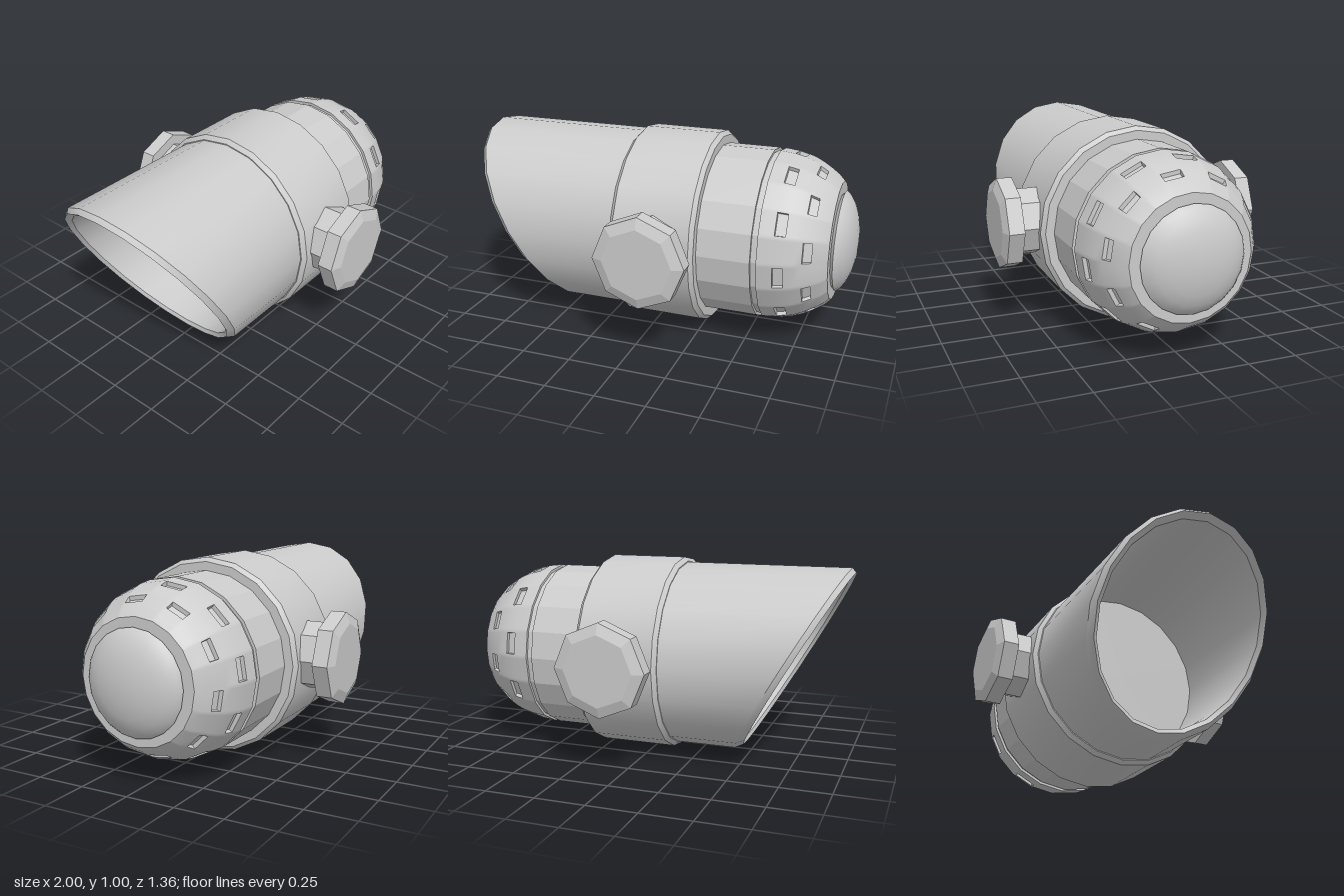
import * as THREE from 'three';
import { toCreasedNormals } from 'three/addons/utils/BufferGeometryUtils.js';

const SIDES = 20;
const AXIS_Y = 0.5;
const STEP = (Math.PI * 2) / SIDES;

// Point at distance r from the x axis; angle 0 is the front, a quarter turn is up
const polar = (x, r, a) => [x, r * Math.sin(a), r * Math.cos(a)];

function pushQuad(out, a, b, c, d) {
  out.push(...a, ...b, ...c, ...a, ...c, ...d);
}

function toGeometry(positions, crease = 0.5) {
  const g = new THREE.BufferGeometry();
  g.setAttribute('position', new THREE.Float32BufferAttribute(positions, 3));
  g.computeVertexNormals();
  return toCreasedNormals(g, crease);
}

// Rings [x, radius] around the x axis; x may be a function of height for slanted cuts
function turned(rings) {
  const out = [];
  const at = ([x, r], j) => {
    const p = polar(0, r, j * STEP);
    p[0] = typeof x === 'function' ? x(p[1]) : x;
    return p;
  };
  for (let i = 0; i < rings.length - 1; i++) {
    for (let j = 0; j < SIDES; j++) {
      pushQuad(out, at(rings[i], j), at(rings[i + 1], j), at(rings[i + 1], j + 1), at(rings[i], j + 1));
    }
  }
  return toGeometry(out);
}

// Rounded nose with two staggered rows of recessed slots
function slottedDome() {
  const profile = [
    [0.585, 0.42], [0.585, 0.436], [0.66, 0.428], [0.71, 0.416], [0.75, 0.402],
    [0.79, 0.382], [0.83, 0.358], [0.87, 0.33], [0.9, 0.3], [0.9, 0.2],
  ];
  const slotParity = { 2: 1, 5: 0 }; // profile row -> which alternate sides are slotted
  const cuts = [0, 1.5, 16.5, 18].map(THREE.MathUtils.degToRad);
  const depth = 0.02;
  const out = [];
  const at = (i, s, c, inset = 0) => {
    const [x, r] = profile[i];
    const flat = Math.cos(STEP / 2) / Math.cos(cuts[c] - STEP / 2);
    return polar(x, (r - inset) * flat, s * STEP + cuts[c]);
  };
  for (let i = 0; i < profile.length - 1; i++) {
    for (let s = 0; s < SIDES; s++) {
      for (let c = 0; c < 3; c++) {
        const corners = (inset) => [
          at(i, s, c, inset), at(i + 1, s, c, inset),
          at(i + 1, s, c + 1, inset), at(i, s, c + 1, inset),
        ];
        const top = corners(0);
        if (c !== 1 || slotParity[i] !== s % 2) {
          pushQuad(out, ...top);
          continue;
        }
        const floor = corners(depth);
        pushQuad(out, ...floor);
        for (let k = 0; k < 4; k++) {
          const n = (k + 1) % 4;
          pushQuad(out, top[k], top[n], floor[n], floor[k]);
        }
      }
    }
  }
  return toGeometry(out);
}

export function createModel() {
  const group = new THREE.Group();
  const smooth = new THREE.MeshStandardMaterial({ color: 0xcccccc });
  const faceted = new THREE.MeshStandardMaterial({ color: 0xcccccc, flatShading: true });

  const add = (name, geometry, material = smooth) => {
    const mesh = new THREE.Mesh(geometry, material);
    mesh.name = name;
    mesh.position.y = AXIS_Y;
    group.add(mesh);
  };

  // Open hood with a slanted, bevelled mouth
  const cut = (offset) => (y) => -0.738 - 0.575 * y + offset;
  add('slantedHood', turned([
    [-0.12, 0], [-0.12, 0.43], [cut(0.02), 0.43], [cut(0), 0.453], [cut(0.032), 0.475], [-0.1, 0.475],
  ]));

  // Wide bevelled collar
  add('collar', turned([
    [-0.14, 0.44], [-0.14, 0.48], [-0.12, 0.5], [0.27, 0.5], [0.29, 0.48], [0.29, 0.42],
  ]));

  // Faceted barrel and the narrow groove behind the nose
  add('barrel', turned([[0.27, 0.436], [0.555, 0.436], [0.555, 0.41]]), faceted);
  add('groove', turned([[0.54, 0.422], [0.6, 0.422]]), faceted);

  add('slottedDome', slottedDome());

  // Domed lens at the tip
  add('lens', turned([
    [0.89, 0.225], [0.915, 0.255], [0.935, 0.237], [0.96, 0.2], [0.98, 0.15], [0.994, 0.085], [1, 0],
  ]));

  // Octagonal pivot knobs on both sides
  for (const side of [1, -1]) {
    const knob = new THREE.Group();
    knob.name = side > 0 ? 'frontKnob' : 'backKnob';
    knob.position.set(0.08, 0.52, 0);
    const addPart = (name, rTop, rBottom, z0, z1) => {
      const geometry = new THREE.CylinderGeometry(rTop, rBottom, z1 - z0, 8);
      geometry.translate(0, (z0 + z1) / 2, 0).rotateX((side * Math.PI) / 2);
      const mesh = new THREE.Mesh(geometry, faceted);
      mesh.name = name;
      knob.add(mesh);
    };
    addPart('knobNeck', 0.17, 0.17, 0.42, 0.6);
    addPart('knobFlange', 0.23, 0.23, 0.585, 0.662);
    addPart('knobCap', 0.175, 0.23, 0.662, 0.682);
    group.add(knob);
  }

  return group;
}
